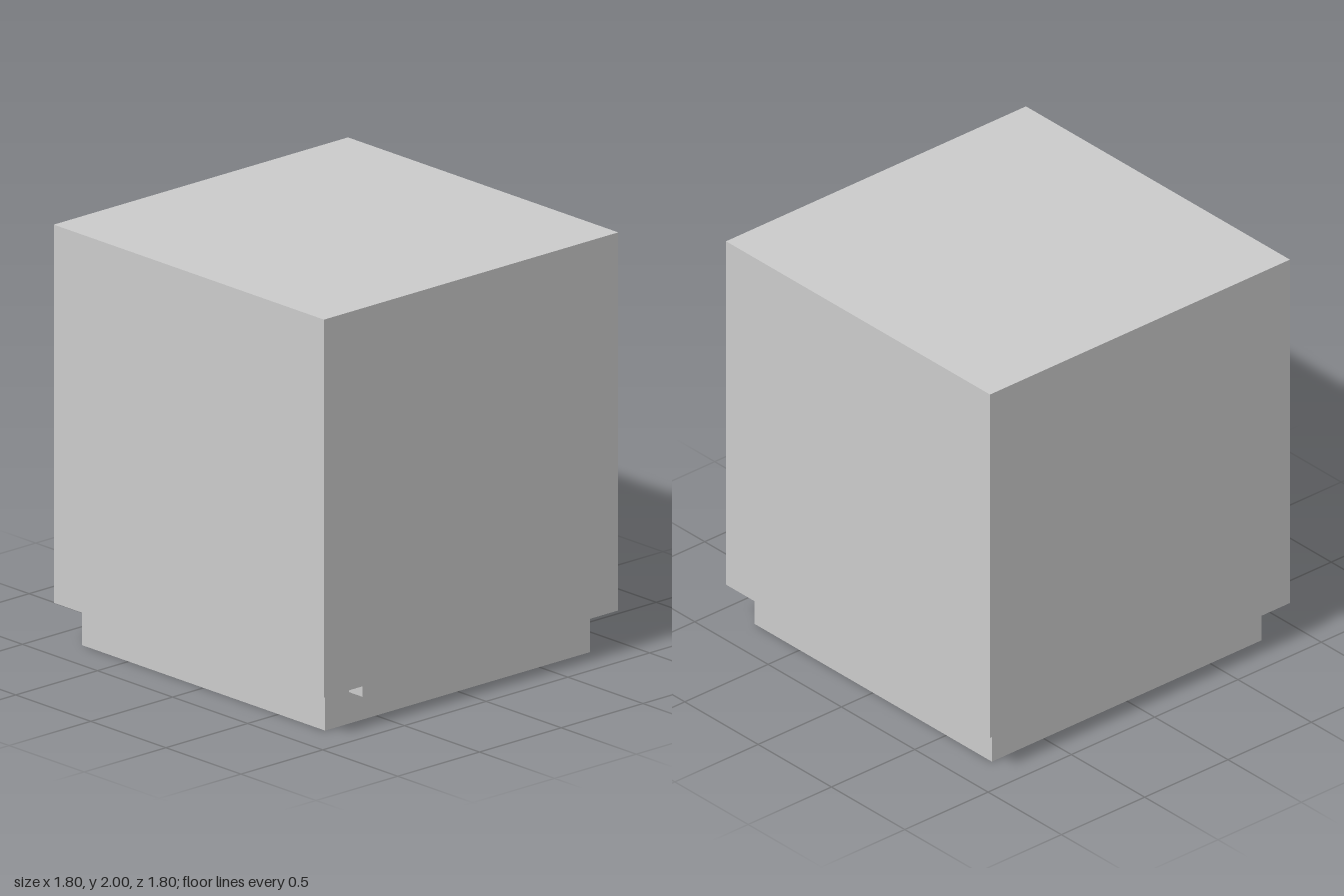
import * as THREE from 'three';

const material = new THREE.MeshStandardMaterial({ color: 0xcccccc });

// Box given by its size, the height of its underside and its z centre
function box(name, width, height, depth, bottom, z = 0) {
  const mesh = new THREE.Mesh(new THREE.BoxGeometry(width, height, depth), material);
  mesh.name = name;
  mesh.position.set(0, bottom + height / 2, z);
  return mesh;
}

export function createModel() {
  const model = new THREE.Group();
  model.name = 'cabinet';
  const size = 1.8, plinthSize = 1.62, plinthHeight = 0.2;
  const lipDepth = (size - plinthSize) / 2, lipHeight = 0.05;

  // Recessed base
  model.add(box('plinth', plinthSize, plinthHeight, plinthSize, 0));
  // Cube-shaped body overhanging the base on all sides
  model.add(box('body', size, size, size, plinthHeight));
  // Lip hanging below the front face, flush with it
  model.add(box('frontLip', 1.33, lipHeight, lipDepth, plinthHeight - lipHeight, (size - lipDepth) / 2));

  return model;
}
